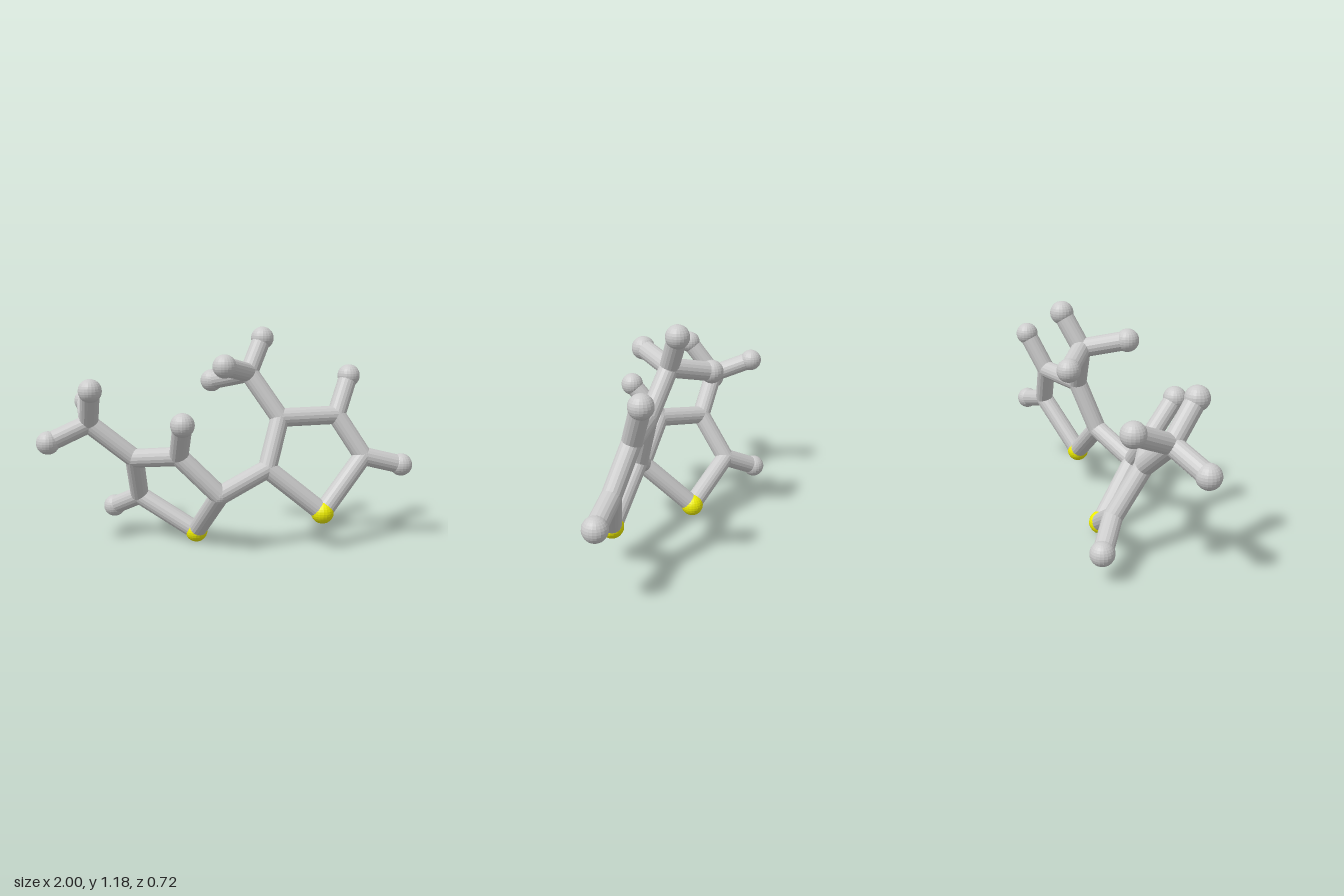
import * as THREE from 'three';

const BOND_R = 0.05, BALL_R = 0.061;

// Ring atoms and methyl carbons of the two linked five-membered rings
const carbons = {
  a2: [0.2, 0.44, 0.05], a3: [0.27, 0.7, -0.036],
  a4: [0.58, 0.705, -0.105], a5: [0.725, 0.485, -0.07], aM: [0.105, 0.935, -0.08],
  b2: [-0.05, 0.32, 0.15], b3: [-0.26, 0.525, 0.14],
  b4: [-0.505, 0.485, -0.015], b5: [-0.497, 0.245, -0.175], bM: [-0.74, 0.675, 0],
};
const sulfurs = { aS: [0.495, 0.205, 0.054], bS: [-0.18, 0.061, -0.098] };

// Tips of the side bonds
const hydrogens = {
  aH4: [0.655, 0.91, -0.19], aH5: [0.94, 0.43, -0.104],
  aM1: [0.18, 1.115, -0.157], aM2: [-0.025, 0.985, 0.125], aM3: [-0.095, 0.88, -0.232],
  bH3: [-0.232, 0.71, 0.297], bH5: [-0.655, 0.154, -0.3],
  bM1: [-0.705, 0.863, 0.145], bM2: [-0.79, 0.77, -0.215], bM3: [-0.942, 0.585, 0.075],
};
const atoms = { ...carbons, ...sulfurs, ...hydrogens };

const bonds = [
  ['aS', 'a2'], ['a2', 'a3'], ['a3', 'a4'], ['a4', 'a5'], ['a5', 'aS'],
  ['a4', 'aH4'], ['a5', 'aH5'],
  ['a3', 'aM'], ['aM', 'aM1'], ['aM', 'aM2'], ['aM', 'aM3'],
  ['a2', 'b2'],
  ['bS', 'b2'], ['b2', 'b3'], ['b3', 'b4'], ['b4', 'b5'], ['b5', 'bS'],
  ['b3', 'bH3'], ['b5', 'bH5'],
  ['b4', 'bM'], ['bM', 'bM1'], ['bM', 'bM2'], ['bM', 'bM3'],
];

export function createModel() {
  const model = new THREE.Group();
  model.name = 'molecule';
  const grey = new THREE.MeshStandardMaterial({ color: 0xcccccc, flatShading: true });
  const yellow = new THREE.MeshStandardMaterial({ color: 0xf0f000, flatShading: true });
  const up = new THREE.Vector3(0, 1, 0);

  // Balls: rounded joints, yellow ring corners and grey tips
  function addBalls(name, centres, radius, material) {
    const geometry = new THREE.SphereGeometry(radius, 20, 14);
    for (const centre of Object.values(centres)) {
      const ball = new THREE.Mesh(geometry, material);
      ball.name = name;
      ball.position.set(...centre);
      model.add(ball);
    }
  }
  addBalls('carbonJoint', carbons, BOND_R, grey);
  addBalls('sulfurAtom', sulfurs, BALL_R, yellow);
  addBalls('hydrogenAtom', hydrogens, BALL_R, grey);

  // Bonds: rods between atom centres
  for (const pair of bonds) {
    const [a, b] = pair.map((key) => new THREE.Vector3(...atoms[key]));
    const dir = b.clone().sub(a);
    const rod = new THREE.Mesh(
      new THREE.CylinderGeometry(BOND_R, BOND_R, dir.length(), 18, 1, true), grey);
    rod.name = 'bond';
    rod.position.copy(a).add(b).multiplyScalar(0.5);
    rod.quaternion.setFromUnitVectors(up, dir.normalize());
    model.add(rod);
  }
  return model;
}
